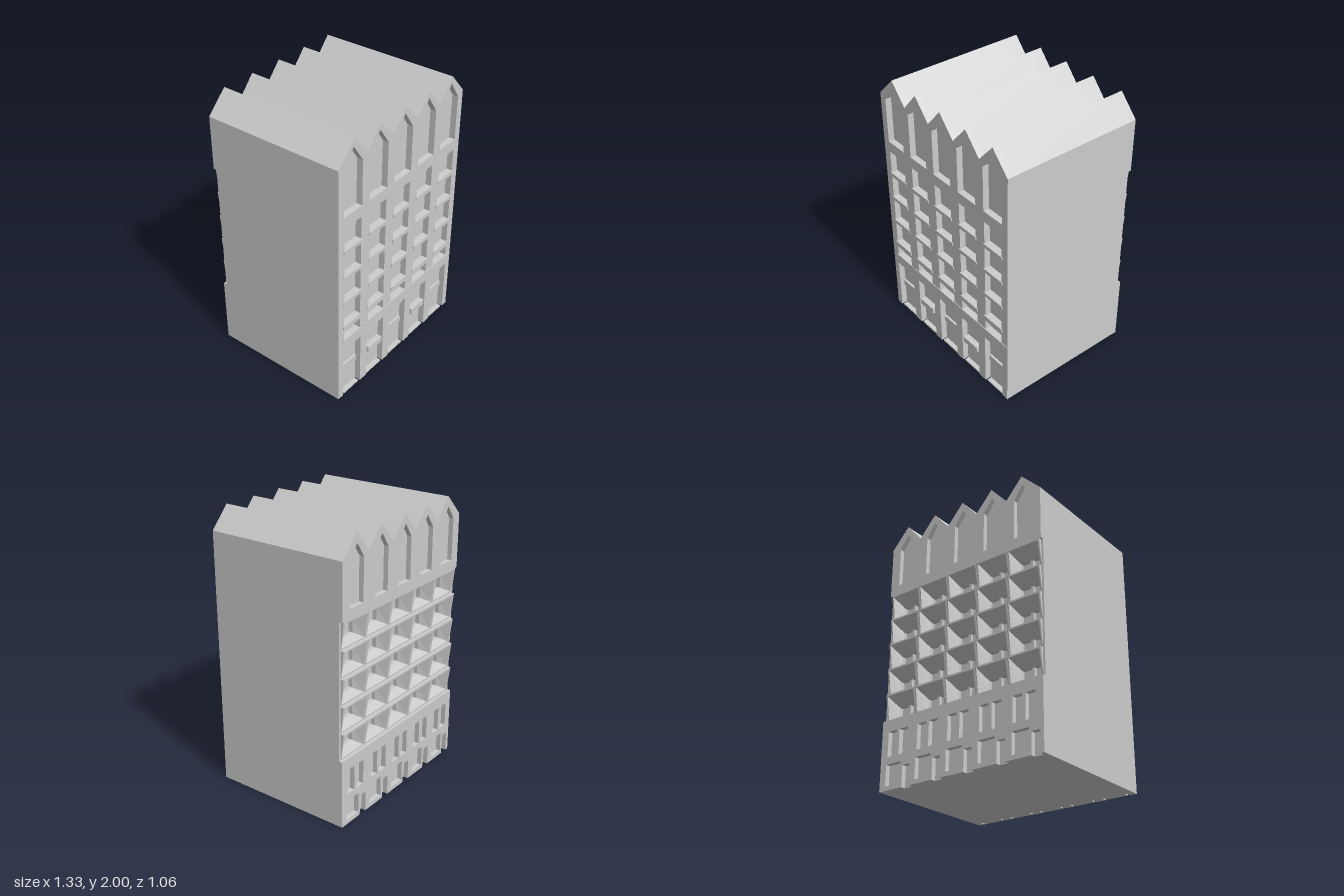
import * as THREE from 'three';

const BAYS = [-0.52, -0.26, 0, 0.26, 0.52];
const HALF = 0.665;

export function createModel() {
  const model = new THREE.Group();
  const stone = new THREE.MeshStandardMaterial({ color: 0xcccccc });
  stone.name = 'light grey stone';

  const add = (name, geometry, x = 0, y = 0, z = 0) => {
    const mesh = new THREE.Mesh(geometry, stone);
    mesh.name = name;
    mesh.position.set(x, y, z);
    model.add(mesh);
    return mesh;
  };
  // Box given by its limits
  const block = (name, x0, x1, y0, y1, z0, z1) =>
    add(name, new THREE.BoxGeometry(x1 - x0, y1 - y0, z1 - z0),
      (x0 + x1) / 2, (y0 + y1) / 2, (z0 + z1) / 2);

  const toShape = (pts) => new THREE.Shape(pts.map(([x, y]) => new THREE.Vector2(x, y)));
  const rect = (x, w, y0, y1) =>
    [[x - w / 2, y0], [x + w / 2, y0], [x + w / 2, y1], [x - w / 2, y1]];
  const gabled = (x, w, y0, shoulder, peak) =>
    [[x - w / 2, y0], [x + w / 2, y0], [x + w / 2, shoulder], [x, peak], [x - w / 2, shoulder]];

  // Zigzag roofline, listed from +x to -x
  const roofline = [[HALF, 1.85]];
  [...BAYS].reverse().forEach((x, i) => {
    roofline.push([x + 0.006, 2]);
    roofline.push(i < 4 ? [x - 0.124, 1.855] : [-HALF, 1.85]);
  });
  // Bottom edge from -x to +x, with door openings cut up from it
  const base = (doors) => {
    const pts = [[-HALF, 0]];
    doors.forEach(([x, w, h]) => pts.push(
      [x - w / 2, 0], [x - w / 2, h], [x + w / 2, h], [x + w / 2, 0]));
    pts.push([HALF, 0]);
    return pts;
  };
  const slab = (name, outline, holes, z0, z1) => {
    const shape = toShape(outline);
    holes.forEach((h) => shape.holes.push(toShape(h)));
    add(name, new THREE.ExtrudeGeometry(shape, { depth: z1 - z0, bevelEnabled: false }), 0, 0, z0);
  };

  // Solid building behind the facades
  slab('buildingCore', [...base([]), ...roofline], [], -0.4, 0.48);
  slab('upperBackCore', [[-HALF, 1.46], [HALF, 1.46], ...roofline], [], -0.495, -0.4);
  block('lowerBackCore', -HALF, HALF, 0, 0.495, -0.495, -0.4);

  // Front facade
  const floors = [0.625, 0.83, 1.035, 1.24];
  const frontHoles = [];
  for (const x of BAYS) {
    frontHoles.push(gabled(x, 0.18, 1.49, 1.82, 1.95));
    floors.forEach((y) => frontHoles.push(rect(x, 0.17, y, y + 0.168)));
    frontHoles.push(rect(x, 0.17, 0.5, 0.577));
  }
  slab('frontFacade', [...base(BAYS.map((x) => [x, 0.19, 0.41])), ...roofline],
    frontHoles, 0.48, 0.525);

  // Front sills, ledge and door fittings
  BAYS.forEach((x, i) => {
    floors.forEach((y) => block('windowSill', x - 0.095, x + 0.095, y - 0.024, y, 0.48, 0.532));
    block('door', x - 0.08, x + 0.08, 0.012, 0.395, 0.478, 0.486);
    block('doorStep', x - 0.08, x + 0.08, 0, 0.012, 0.48, 0.52);
    block('doorCanopy', x - 0.075, x + 0.075, 0.2, 0.245, 0.48, i % 2 ? 0.53 : 0.503);
  });
  block('firstFloorLedge', -0.4, 0.655, 0.49, 0.5, 0.5, 0.53);
  block('firstFloorLedge', -0.62, -0.43, 0.488, 0.5, 0.5, 0.53);
  block('doorLintel', -0.075, 0.075, 0.387, 0.395, 0.48, 0.515);

  // Back facade: gabled windows above
  slab('upperBackFacade', [[-HALF, 1.46], [HALF, 1.46], ...roofline],
    BAYS.map((x) => gabled(x, 0.14, 1.53, 1.83, 1.93)), -0.53, -0.495);

  // Back facade: paired windows, ground windows and doors
  const backHoles = [];
  for (const x of BAYS) {
    backHoles.push(rect(x - 0.05, 0.075, 0.23, 0.41), rect(x + 0.05, 0.075, 0.23, 0.41));
    backHoles.push(rect(x + 0.03, 0.13, 0.03, 0.18));
  }
  slab('lowerBackFacade',
    [...base(BAYS.map((x) => [x - 0.085, 0.065, 0.15])), [HALF, 0.495], [-HALF, 0.495]],
    backHoles, -0.53, -0.495);

  // Splayed window cells: nested rectangular rings, closed by a pane
  const pitch = 0.193;
  const ring = (w, y0, y1, zLow, zHigh) =>
    [[w / 2, y0, zLow], [-w / 2, y0, zLow], [-w / 2, y1, zHigh], [w / 2, y1, zHigh]];
  const rings = [
    ring(0.26, 0, pitch, -0.4, -0.4),
    ring(0.26, 0, pitch, -0.505, -0.53),
    ring(0.235, 0.012, pitch - 0.012, -0.505, -0.53),
    ring(0.17, 0.035, pitch - 0.075, -0.435, -0.435),
    ring(0.17, 0.035, pitch - 0.075, -0.405, -0.405),
  ];
  const tri = [];
  const quad = (a, b, c, d) => tri.push(...a, ...b, ...c, ...a, ...c, ...d);
  for (let r = 0; r < rings.length - 1; r++) {
    for (let i = 0; i < 4; i++) {
      const j = (i + 1) % 4;
      quad(rings[r][i], rings[r][j], rings[r + 1][j], rings[r + 1][i]);
    }
  }
  quad(...rings[rings.length - 1]);
  const cell = new THREE.BufferGeometry();
  cell.setAttribute('position', new THREE.Float32BufferAttribute(tri, 3));
  cell.computeVertexNormals();

  for (let row = 0; row < 5; row++) {
    const y = 0.495 + row * pitch;
    for (const x of BAYS) {
      add('splayedWindow', cell, x, y, 0);
      block('windowMullion', x - 0.01, x + 0.01, y + 0.035, y + pitch - 0.075, -0.43, -0.4);
    }
  }
  // Side cheeks that close the ends of the window grid
  for (const s of [-1, 1]) {
    const a = s * 0.65, b = s * HALF;
    block('sideCheek', Math.min(a, b), Math.max(a, b), 0.495, 1.46, -0.505, -0.4);
  }

  return model;
}
